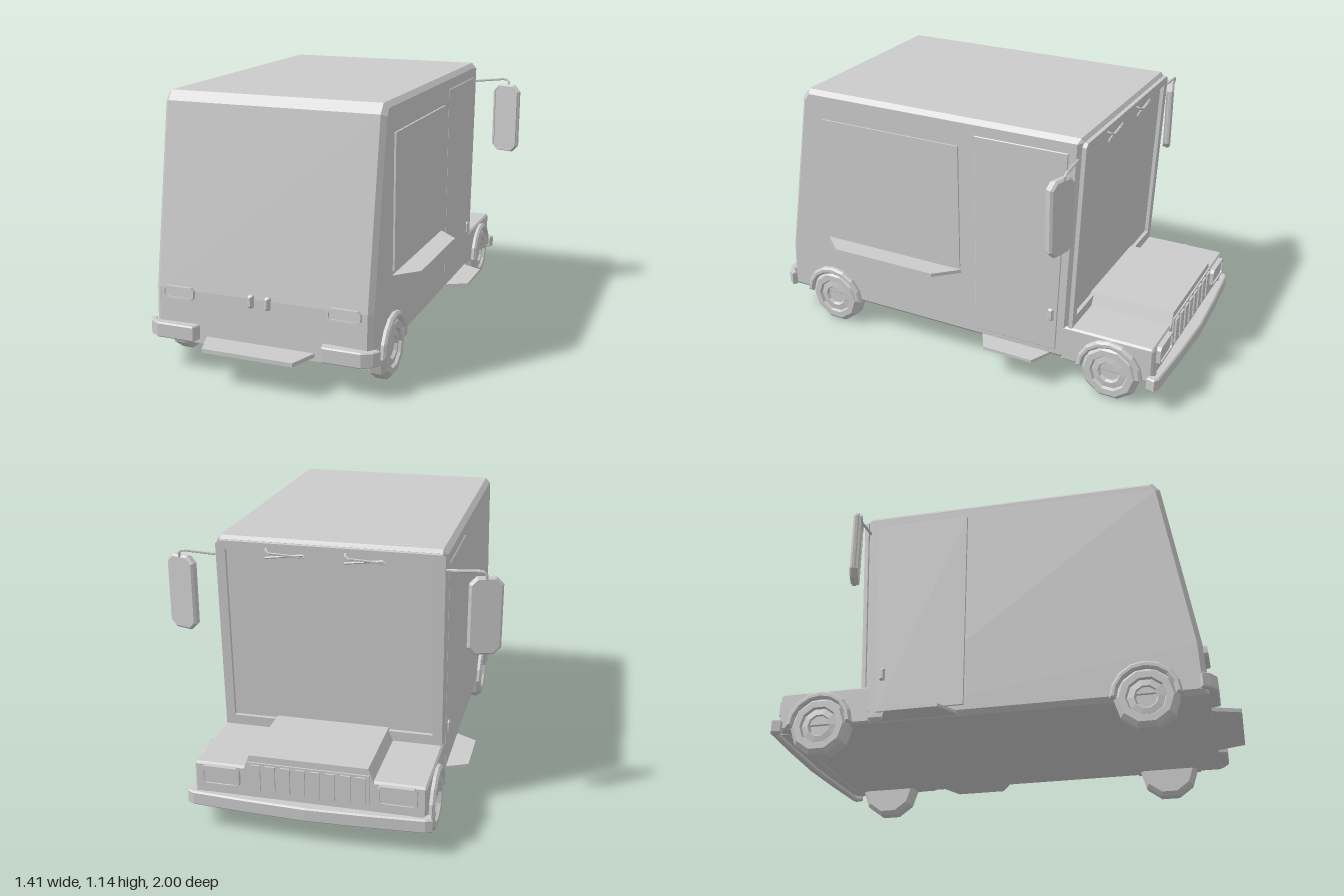
import * as THREE from 'three';

const mat = new THREE.MeshStandardMaterial({ color: 0xcccccc, flatShading: true, side: THREE.DoubleSide });

function add(parent, name, geometry) {
  const mesh = new THREE.Mesh(geometry, mat);
  mesh.name = name;
  parent.add(mesh);
  return mesh;
}

const shapeOf = (pts) => new THREE.Shape(pts.map(([a, b]) => new THREE.Vector2(a, b)));

// Extrusion of a given depth whose bevel stays inside the outline
function extrude(shape, depth, bevel = 0) {
  const g = new THREE.ExtrudeGeometry(shape, {
    depth: depth - 2 * bevel, bevelEnabled: bevel > 0, bevelSize: bevel,
    bevelThickness: bevel, bevelOffset: -bevel, bevelSegments: 1, curveSegments: 8,
  });
  return g.translate(0, 0, bevel);
}

// Outline in [z, y], extruded from x0 to x1
const sideways = (pts, x0, x1, bevel) =>
  extrude(shapeOf(pts.map(([z, y]) => [-z, y])), x1 - x0, bevel).rotateY(Math.PI / 2).translate(x0, 0, 0);

// Outline in [x, z], extruded from y0 to y1
const upward = (pts, y0, y1, bevel) =>
  extrude(shapeOf(pts.map(([x, z]) => [x, -z])), y1 - y0, bevel).rotateX(-Math.PI / 2).translate(0, y0, 0);

// Rectangle with clipped corners
const clipped = (w, h, c) => [
  [-w / 2 + c, -h / 2], [w / 2 - c, -h / 2], [w / 2, -h / 2 + c], [w / 2, h / 2 - c],
  [w / 2 - c, h / 2], [-w / 2 + c, h / 2], [-w / 2, h / 2 - c], [-w / 2, -h / 2 + c],
];

// Clipped plate facing +z, with an optional recessed centre
function plate(w, h, depth, corner, rim = 0) {
  const s = shapeOf(clipped(w, h, corner));
  if (rim) s.holes.push(shapeOf(clipped(w - 2 * rim, h - 2 * rim, corner * 0.6)));
  return extrude(s, depth, rim ? 0 : depth * 0.3).translate(0, 0, -depth / 2);
}

function lamp(parent, name, w, h, x, y, z, turn, tilt = 0) {
  const g = new THREE.Group();
  g.name = name;
  add(g, 'lampRim', plate(w, h, 0.03, 0.013, 0.01));
  add(g, 'lampLens', plate(w - 0.01, h - 0.01, 0.016, 0.008));
  g.position.set(x, y, z);
  g.rotation.set(tilt, turn, 0);
  parent.add(g);
}

function rod(parent, name, pts, radius) {
  const path = new THREE.CurvePath();
  const v = pts.map((p) => new THREE.Vector3(...p));
  for (let i = 1; i < v.length; i++) path.add(new THREE.LineCurve3(v[i - 1], v[i]));
  add(parent, name, new THREE.TubeGeometry(path, (v.length - 1) * 4, radius, 6));
}

function wheel(parent, side, z) {
  const g = new THREE.Group();
  g.name = 'wheel';
  const profile = [[0, -0.045], [0.115, -0.045], [0.133, -0.028], [0.133, 0.022], [0.112, 0.042],
    [0.084, 0.042], [0.078, 0.03], [0.05, 0.034], [0.042, 0.022], [0, 0.022]];
  const tyre = add(g, 'tyreAndHub', new THREE.LatheGeometry(profile.map(([r, h]) => new THREE.Vector2(r, h)), 10));
  tyre.rotation.z = -side * Math.PI / 2;
  g.position.set(side * 0.453, 0.133, z);
  parent.add(g);

  // Arch around the top half of the wheel
  const ring = [];
  for (let i = 0; i <= 8; i++) ring.push([z + 0.148 * Math.cos(i * Math.PI / 8), 0.135 + 0.152 * Math.sin(i * Math.PI / 8)]);
  for (let i = 8; i >= 0; i--) ring.push([z + 0.12 * Math.cos(i * Math.PI / 8), 0.135 + 0.12 * Math.sin(i * Math.PI / 8)]);
  add(parent, 'wheelArch', sideways(ring, side > 0 ? 0.44 : -0.502, side > 0 ? 0.502 : -0.44, 0.009));
}

export function createModel() {
  const root = new THREE.Group();
  root.name = 'stepVan';
  const van = new THREE.Group();
  van.name = 'van';
  van.position.x = -0.004;
  root.add(van);

  // Cargo body with chamfered edges and sloping rear
  add(van, 'body', sideways([[0.88, 0.13], [0.87, 0.35], [0.742, 1.11], [0.71, 1.15],
    [-0.585, 1.15], [-0.597, 1.135], [-0.555, 0.13]], -0.48, 0.48, 0.02));

  // Windshield frame, leaving the glass recessed
  const frame = shapeOf([[-0.475, 0], [0.475, 0], [0.475, 0.83], [0.46, 0.845], [-0.46, 0.845], [-0.475, 0.83]]);
  frame.holes.push(shapeOf([[-0.435, 0.05], [0.435, 0.05], [0.435, 0.81], [-0.435, 0.81]]));
  const windshield = add(van, 'windshieldFrame', extrude(frame, 0.018));
  windshield.position.set(0, 0.29, -0.56);
  windshield.rotation.set(0.043, Math.PI, 0, 'YXZ');
  windshield.rotation.x = 0.043;

  // Wipers hanging from the top of the windshield
  for (const x of [-0.15, 0.18]) {
    rod(van, 'wiper', [[x + 0.08, 1.115, -0.605], [x + 0.07, 1.1, -0.638], [x - 0.085, 1.085, -0.615]], 0.005);
    rod(van, 'wiperBlade', [[x + 0.08, 1.075, -0.62], [x - 0.08, 1.095, -0.618]], 0.005);
  }

  // Nose: fenders, raised hood and grille
  add(van, 'fenders', sideways([[-0.53, 0.13], [-0.53, 0.295], [-0.935, 0.295], [-0.943, 0.285], [-0.943, 0.13]], -0.48, 0.48, 0.008));
  const hood = extrude(shapeOf([[-0.272, 0.28], [0.272, 0.28], [0.245, 0.348], [-0.245, 0.348]]), 0.39);
  add(van, 'hood', hood.translate(0, 0, -0.943));
  add(van, 'grillePanel', new THREE.BoxGeometry(0.5, 0.13, 0.012).translate(0, 0.255, -0.944));
  for (let i = 0; i < 8; i++) {
    add(van, 'grilleSlat', new THREE.BoxGeometry(0.04, 0.115, 0.016).translate(-0.217 + i * 0.062, 0.255, -0.95));
  }

  // Bowed front bumper
  const half = [[0, -1], [0.25, -0.99], [0.48, -0.975], [0.508, -0.962], [0.5, -0.925], [0.475, -0.925], [0.465, -0.95], [0, -0.968]];
  const mirrored = half.slice(1, -1).map(([x, z]) => [-x, z]).reverse();
  add(van, 'frontBumper', upward([...half, ...mirrored], 0.11, 0.17, 0.006));
  add(van, 'bumperMount', new THREE.BoxGeometry(0.86, 0.035, 0.05).translate(0, 0.145, -0.945));

  for (const side of [-1, 1]) {
    wheel(van, side, 0.635);
    wheel(van, side, -0.755);

    // Lamps
    lamp(van, 'headlight', 0.16, 0.085, side * 0.365, 0.245, -0.947, Math.PI);
    lamp(van, 'tailLight', 0.143, 0.054, side * 0.365, 0.336, 0.873, 0, -0.1);
    add(van, 'plateLight', plate(0.024, 0.054, 0.03, 0.004)).position.set(side * 0.037, 0.342, 0.875);

    // Rear bumper corner
    const corner = [[0.27, 0.87], [0.285, 0.918], [0.45, 0.918], [0.492, 0.893], [0.512, 0.862],
      [0.49, 0.85], [0.465, 0.88]].map(([x, z]) => [side * x, z]);
    add(van, 'rearBumper', upward(corner, 0.145, 0.21, 0.005));

    // Side door, handle and step
    const door = sideways([[-0.12, 0.17], [-0.12, 1.085], [-0.542, 1.085], [-0.505, 0.17]], 0, 0.008, 0.003);
    add(van, 'sideDoor', door).position.x = side > 0 ? 0.476 : -0.484;
    const handle = add(van, 'doorHandle', plate(0.024, 0.056, 0.022, 0.004));
    handle.position.set(side * 0.485, 0.342, -0.483);
    handle.rotation.y = side * Math.PI / 2;
    const step = [[0.46, -0.15], [0.476, -0.15], [0.572, -0.205], [0.572, -0.435], [0.476, -0.48], [0.46, -0.48]];
    add(van, 'sideStep', upward(step.map(([x, z]) => [side * x, z]), 0.135, 0.148));

    // Tall mirror on a bent arm
    rod(root, 'mirrorArm', [[side * 0.47, 1.063, -0.58], [side * 0.62, 1.078, -0.602],
      [side * 0.638, 1.07, -0.6], [side * 0.64, 1.03, -0.59]], 0.006);
    const mirror = new THREE.Group();
    mirror.name = 'mirror';
    add(mirror, 'mirrorHousing', plate(0.137, 0.325, 0.03, 0.03));
    add(mirror, 'mirrorRim', plate(0.128, 0.314, 0.012, 0.026, 0.009)).position.z = 0.014;
    mirror.position.set(side * 0.637, 0.89, -0.583);
    mirror.rotation.y = -side * 0.3;
    root.add(mirror);
  }

  // Serving hatch and counter on the left side only
  add(van, 'servingHatch', sideways([[-0.045, 0.46], [-0.045, 1.025], [0.638, 1.025], [0.638, 0.46]], 0.47, 0.488));
  add(van, 'counter', upward([[0.46, -0.05], [0.478, -0.05], [0.572, 0.05], [0.572, 0.545], [0.478, 0.65], [0.46, 0.65]], 0.428, 0.444));

  // Rear step
  add(van, 'rearStep', upward([[-0.24, 0.86], [-0.24, 0.88], [-0.198, 1], [0.198, 1], [0.24, 0.88], [0.24, 0.86]], 0.146, 0.163));

  return root;
}
